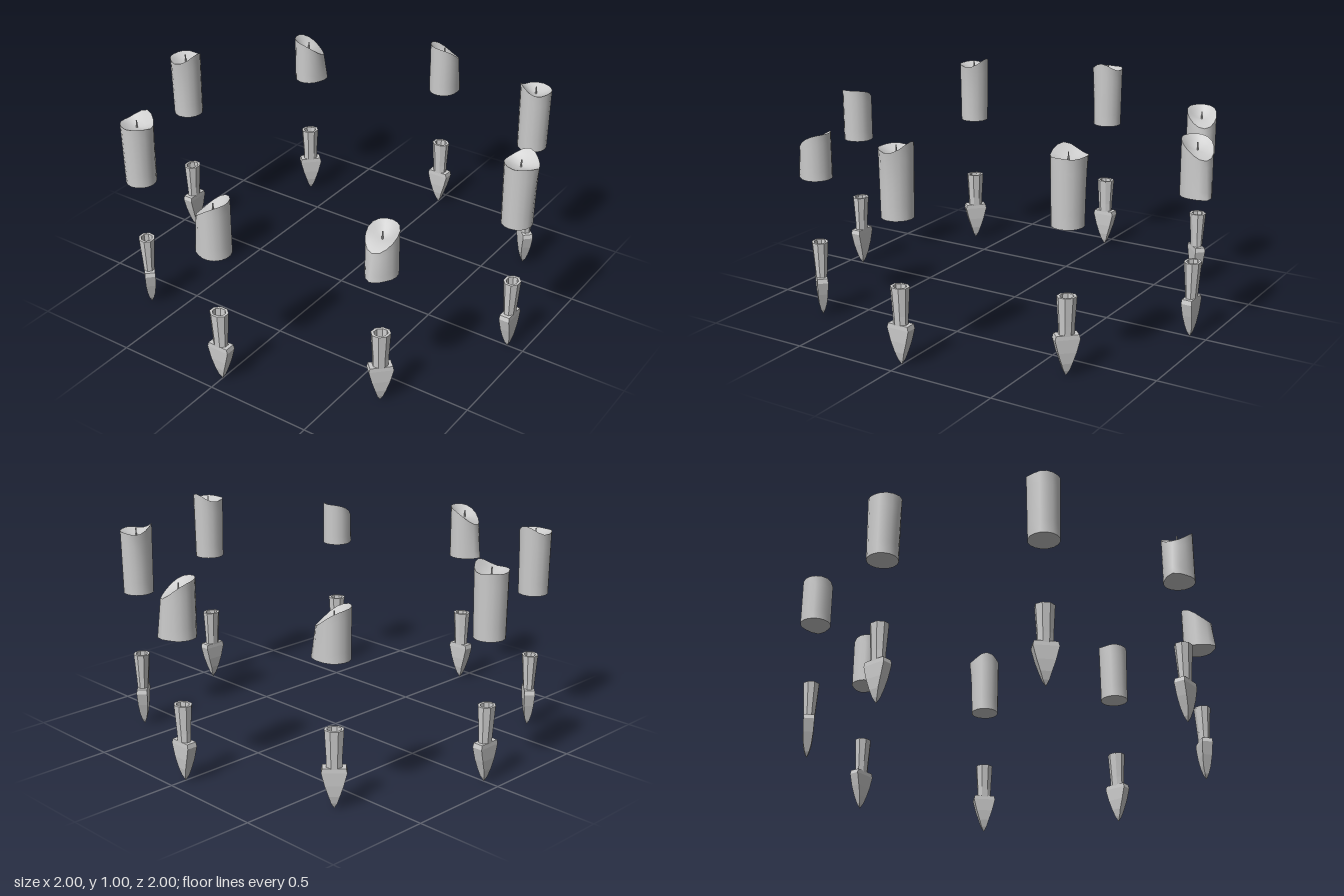
import * as THREE from 'three';

const RING = 0.922;
const BASE_Y = 0.675;
const wax = new THREE.MeshStandardMaterial({ color: 0xcccccc, side: THREE.DoubleSide });
const metal = new THREE.MeshStandardMaterial({ color: 0xcccccc, side: THREE.DoubleSide, flatShading: true });

// Closed rings of points joined row by row; at(row, angle) gives [x, y, z]
function loft(rows, segs, at, turn = 0) {
  const pos = [], index = [];
  for (let r = 0; r < rows; r++)
    for (let s = 0; s < segs; s++) pos.push(...at(r, turn + (s / segs) * Math.PI * 2));
  for (let r = 0; r < rows - 1; r++)
    for (let s = 0; s < segs; s++) {
      const a = r * segs + s, b = r * segs + (s + 1) % segs;
      index.push(a, a + segs, b + segs, a, b + segs, b);
    }
  const g = new THREE.BufferGeometry();
  g.setAttribute('position', new THREE.Float32BufferAttribute(pos, 3));
  g.setIndex(index);
  g.computeVertexNormals();
  return g;
}

function part(parent, name, geometry, material) {
  const m = new THREE.Mesh(geometry, material);
  m.name = name;
  parent.add(m);
  return m;
}

// Rounded bump of 1 at angle difference 0, fading to nothing
const bump = (d, sharp) => Math.exp(sharp * (Math.cos(d) - 1));

// Candle: dir is the angle of the highest part of the rim
function makeCandle({ tall, dir, drop = 0 }) {
  const g = new THREE.Group();
  g.name = tall ? 'tallCandle' : 'shortCandle';
  const rim = a => {
    const d = a - dir;
    return tall
      ? 0.977 + 0.012 * Math.cos(d) + 0.01 * Math.cos(2 * d) + 0.006 * Math.cos(3 * d)
      : 0.9 - drop + 0.043 * Math.cos(d) - 0.01 * Math.cos(2 * d);
  };
  // Tall candles spill at the rim, short ones run down into a foot
  const radius = (a, t) => tall
    ? 0.07 + 0.004 * t + 0.011 * bump(a - dir - Math.PI / 2, 12) * t ** 3
    : 0.071 + 0.025 * bump(a - dir - Math.PI, 9) * (1 - 0.75 * t);
  const segs = 16, steps = 5;
  const side = (a, t) => {
    const r = radius(a, t);
    return [r * Math.cos(a), BASE_Y + (rim(a) - BASE_Y) * t, r * Math.sin(a)];
  };
  const well = tall ? 0.948 : 0.877 - drop;

  part(g, 'waxBody', loft(steps + 1, segs, (r, a) => side(a, r / steps), dir), wax);
  part(g, 'waxBase', loft(2, segs, (r, a) => r ? side(a, 0) : [0, BASE_Y, 0], dir), wax);
  // Melted hollow sinking from the rim to the wick
  part(g, 'meltedTop', loft(5, segs, (r, a) => {
    const t = 1 - r / 4, [x, y, z] = side(a, 1);
    return [x * t, well + (y - well) * t * t, z * t];
  }, dir), wax);
  const wick = part(g, 'wick', new THREE.CylinderGeometry(0.003, 0.004, 0.04, 6), wax);
  wick.position.y = well + 0.015;
  return g;
}

// Hollow tapering socket above a flat pointed blade
function makeSpike() {
  const g = new THREE.Group();
  g.name = 'spike';
  // Each row: half width, half depth, height
  const socket = [
    [0.033, 0.024, 0.19], [0.034, 0.027, 0.24], [0.041, 0.036, 0.368],
    [0.029, 0.025, 0.368], [0.024, 0.018, 0.26], [0, 0, 0.26],
  ];
  const blade = [
    [0, 0, 0.01], [0.013, 0.01, 0.035], [0.024, 0.018, 0.07], [0.04, 0.023, 0.12],
    [0.055, 0.025, 0.18], [0.05, 0.024, 0.2], [0, 0, 0.2],
  ];
  part(g, 'socket', loft(socket.length, 8, (r, a) => {
    const [w, d, y] = socket[r];
    return [w * Math.cos(a) / Math.cos(Math.PI / 8), y, d * Math.sin(a) / Math.cos(Math.PI / 8)];
  }, Math.PI / 8), metal);
  part(g, 'blade', loft(blade.length, 4, (r, a) => {
    const [w, d, y] = blade[r];
    return [w * Math.SQRT2 * Math.cos(a), y, d * Math.SQRT2 * Math.sin(a)];
  }, Math.PI / 4), metal);
  return g;
}

export function createModel() {
  const model = new THREE.Group();
  model.name = 'floatingCandleRing';
  const deg = Math.PI / 180;
  // Listed round the ring from +x towards +z
  const candles = [
    { tall: true, dir: -90 * deg },
    { tall: false, dir: -90 * deg, drop: 0.043 },
    { tall: false, dir: -12 * deg },
    { tall: true, dir: -90 * deg },
    { tall: true, dir: 0 },
    { tall: false, dir: 145 * deg, drop: 0.035 },
    { tall: false, dir: 125 * deg },
    { tall: true, dir: 135 * deg },
  ];
  candles.forEach((spec, i) => {
    const a = i * Math.PI / 4;
    const x = RING * Math.cos(a), z = RING * Math.sin(a);
    const candle = makeCandle(spec);
    candle.position.set(x, 0, z);
    // Spikes hang below, their broad faces turned outwards
    const spike = makeSpike();
    spike.position.set(x, 0, z);
    spike.rotation.y = Math.PI / 2 - a;
    model.add(candle, spike);
  });
  return model;
}
